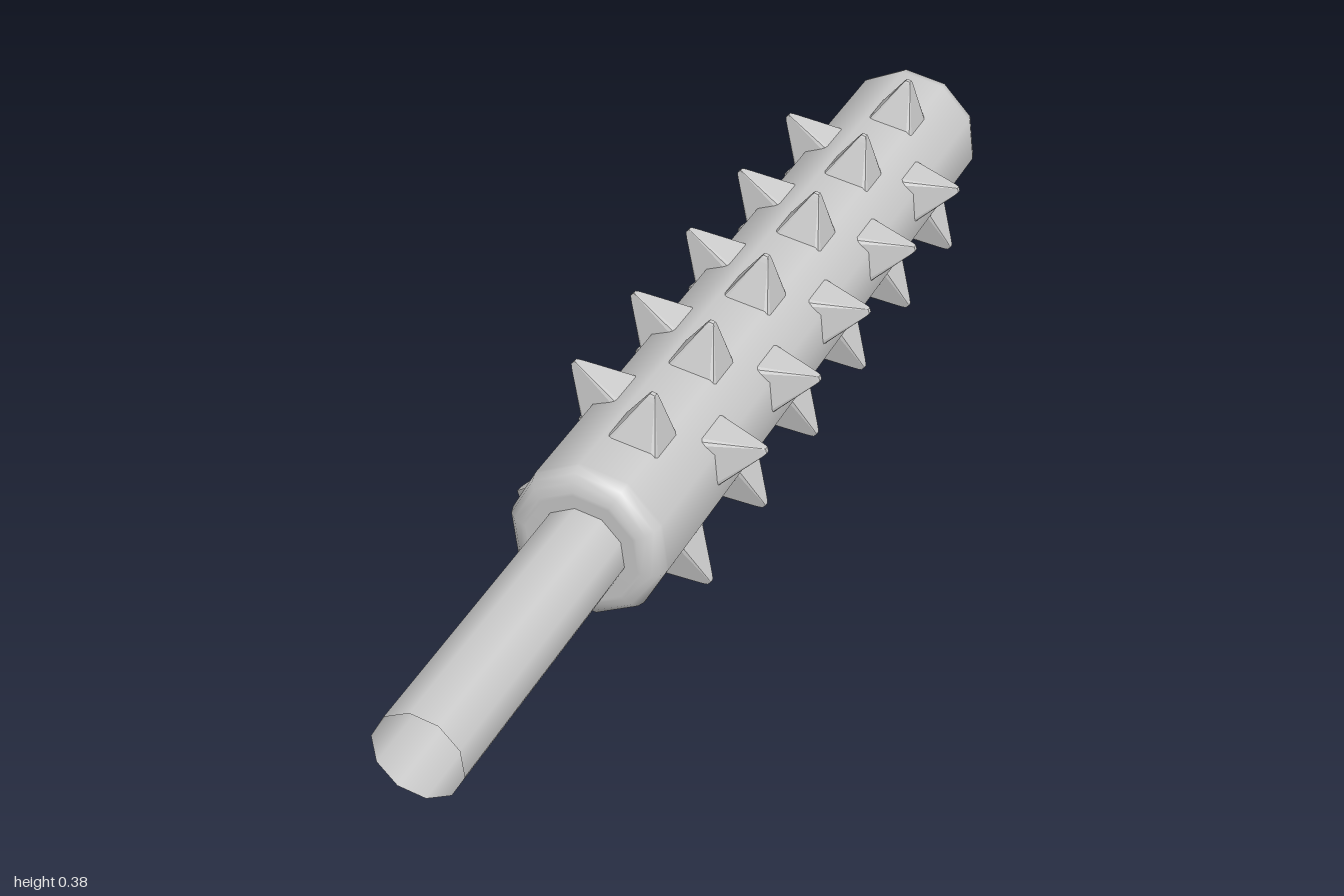
import * as THREE from 'three';
import { RoundedBoxGeometry } from 'three/addons/geometries/RoundedBoxGeometry.js';

const SIDES = 10;
const TURN = THREE.MathUtils.degToRad(7);

// Ten-sided turned part running along z; profile pairs are [radius, z].
function turned(name, profile, material) {
  const points = profile.map(([r, z]) => new THREE.Vector2(r, z));
  const geometry = new THREE.LatheGeometry(points, SIDES);
  geometry.rotateX(Math.PI / 2).rotateZ(TURN);
  const mesh = new THREE.Mesh(geometry, material);
  mesh.name = name;
  mesh.position.set(-0.003, 0.182, 0);
  return mesh;
}

// Square spike with softened edges and a blunt tip, pointing along +y from the club's axis.
function spikeGeometry() {
  const base = 0.09, tip = 0.194, apex = 0.205, half = 0.052;
  const geometry = new RoundedBoxGeometry(half * 2, tip - base, half * 2, 1, 0.01);
  geometry.translate(0, (base + tip) / 2, 0);
  const p = geometry.attributes.position;
  for (let i = 0; i < p.count; i++) {
    const s = (apex - p.getY(i)) / (apex - base);
    p.setX(i, p.getX(i) * s);
    p.setZ(i, p.getZ(i) * s);
  }
  geometry.computeVertexNormals();
  return geometry;
}

export function createModel() {
  const grey = new THREE.MeshStandardMaterial({ color: 0xcccccc });
  const greyOpen = new THREE.MeshStandardMaterial({ color: 0xcccccc, side: THREE.DoubleSide });
  const model = new THREE.Group();
  model.name = 'spikedClub';

  // Head with rounded ends
  const R = 0.13, back = -1, front = 0.475;
  const end = [[0, 0], [0.094, 0], [0.1, 0.0005], [0.115, 0.005], [0.125, 0.015], [0.1295, 0.03], [R, 0.036]];
  const head = [
    ...end.map(([r, d]) => [r, back + d]),
    ...end.map(([r, d]) => [r, front - d]).reverse(),
  ];
  model.add(turned('head', head, grey));

  // Hollow handle, open at the front
  model.add(turned('handle', [[0.0725, 0.46], [0.0725, 1]], greyOpen));

  // Six rows of spikes, alternating six and five per row
  const spikes = new THREE.Group();
  spikes.name = 'spikes';
  spikes.position.set(0, 0.189, 0);
  const geometry = spikeGeometry();
  const step = 0.225;
  for (let row = 0; row < 6; row++) {
    const offset = row % 2;
    for (let i = 0; i < 6 - offset; i++) {
      const spike = new THREE.Mesh(geometry, grey);
      spike.name = 'spike';
      spike.rotation.z = THREE.MathUtils.degToRad(76 + row * 60 - 90);
      spike.position.z = 0.315 - (i + offset / 2) * step;
      spikes.add(spike);
    }
  }
  model.add(spikes);
  return model;
}
